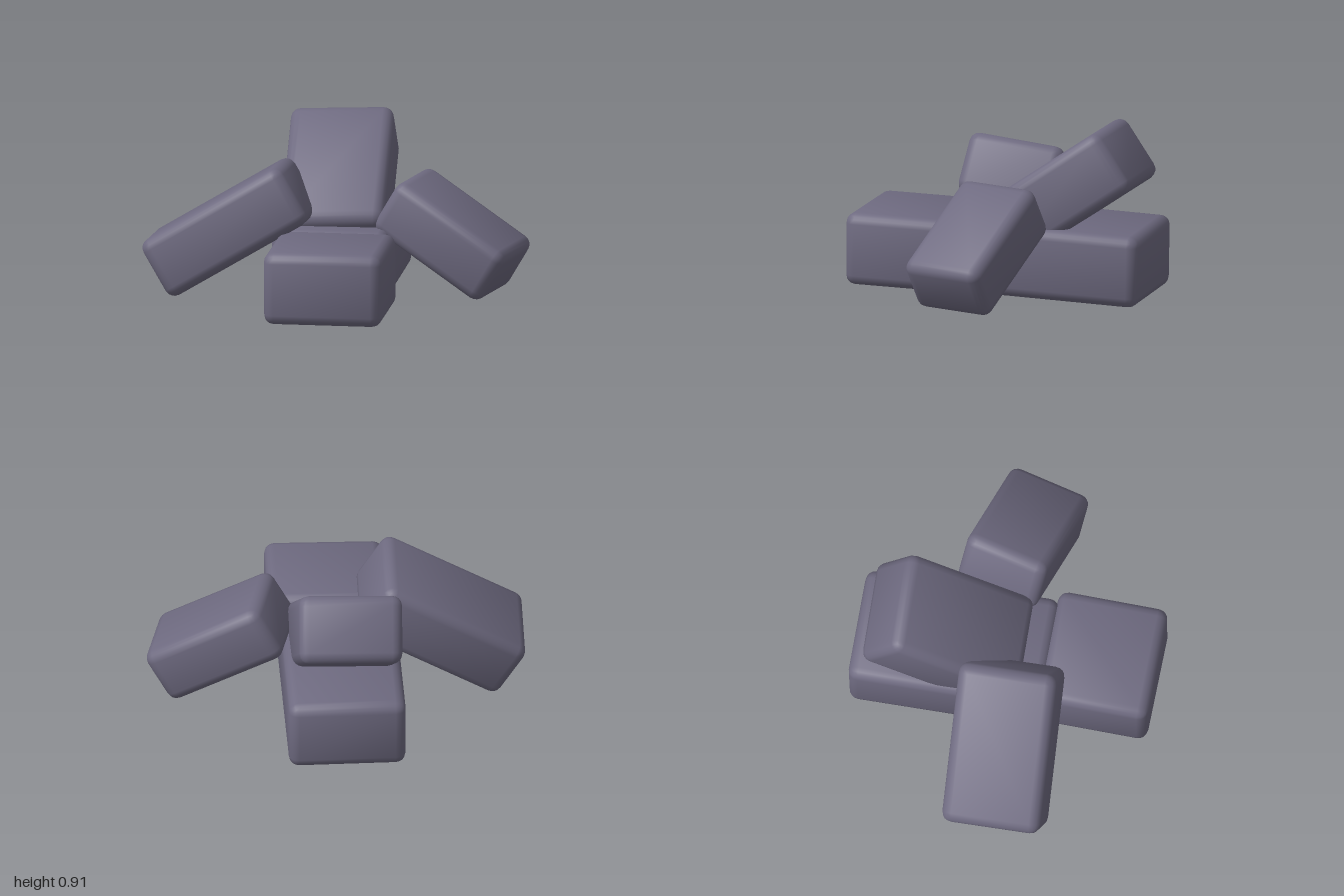
import * as THREE from 'three';
import { RoundedBoxGeometry } from 'three/addons/geometries/RoundedBoxGeometry.js';

export function createModel() {
  const model = new THREE.Group();
  model.name = 'blockPile';
  const stone = new THREE.MeshStandardMaterial({ name: 'slate violet', color: 0x6e6a80 });

  // One worn block: size, centre, then rotation in the given order
  function block(name, size, centre, rotation, order) {
    const geometry = new RoundedBoxGeometry(...size, 2, 0.055);

    // Lean the normals outwards so the faces look softly worn
    const { position, normal } = geometry.attributes;
    const n = new THREE.Vector3();
    const outward = new THREE.Vector3();
    const extent = new THREE.Vector3(...size);
    for (let i = 0; i < normal.count; i++) {
      outward.fromBufferAttribute(position, i).divide(extent).normalize();
      n.fromBufferAttribute(normal, i).addScaledVector(outward, 0.4).normalize();
      normal.setXYZ(i, n.x, n.y, n.z);
    }

    const mesh = new THREE.Mesh(geometry, stone);
    mesh.name = name;
    mesh.position.set(...centre);
    mesh.rotation.set(...rotation, order);
    model.add(mesh);
  }

  // Two blocks lying flat, end to end
  block('rearBaseBlock', [0.62, 0.385, 1.04], [-0.04, 0.202, -0.28], [-0.018, 0.12, 0], 'YXZ');
  block('frontBaseBlock', [0.63, 0.39, 0.59], [0.095, 0.215, 0.502], [0, 0.1, 0.005], 'YXZ');

  // Blocks leaning on the base from either side
  block('rightLeaningBlock', [0.865, 0.34, 0.53], [-0.54, 0.38, 0.143], [-0.11, 0.16, 0.54], 'YZX');
  block('leftLeaningBlock', [0.71, 0.315, 0.46], [0.613, 0.354, -0.095], [0, -0.13, -0.54], 'YZX');

  // Block resting on top, tipped up towards the back
  block('topBlock', [0.55, 0.36, 0.82], [-0.058, 0.54, -0.31], [0.61, 0.16, 0.05], 'YXZ');

  return model;
}
